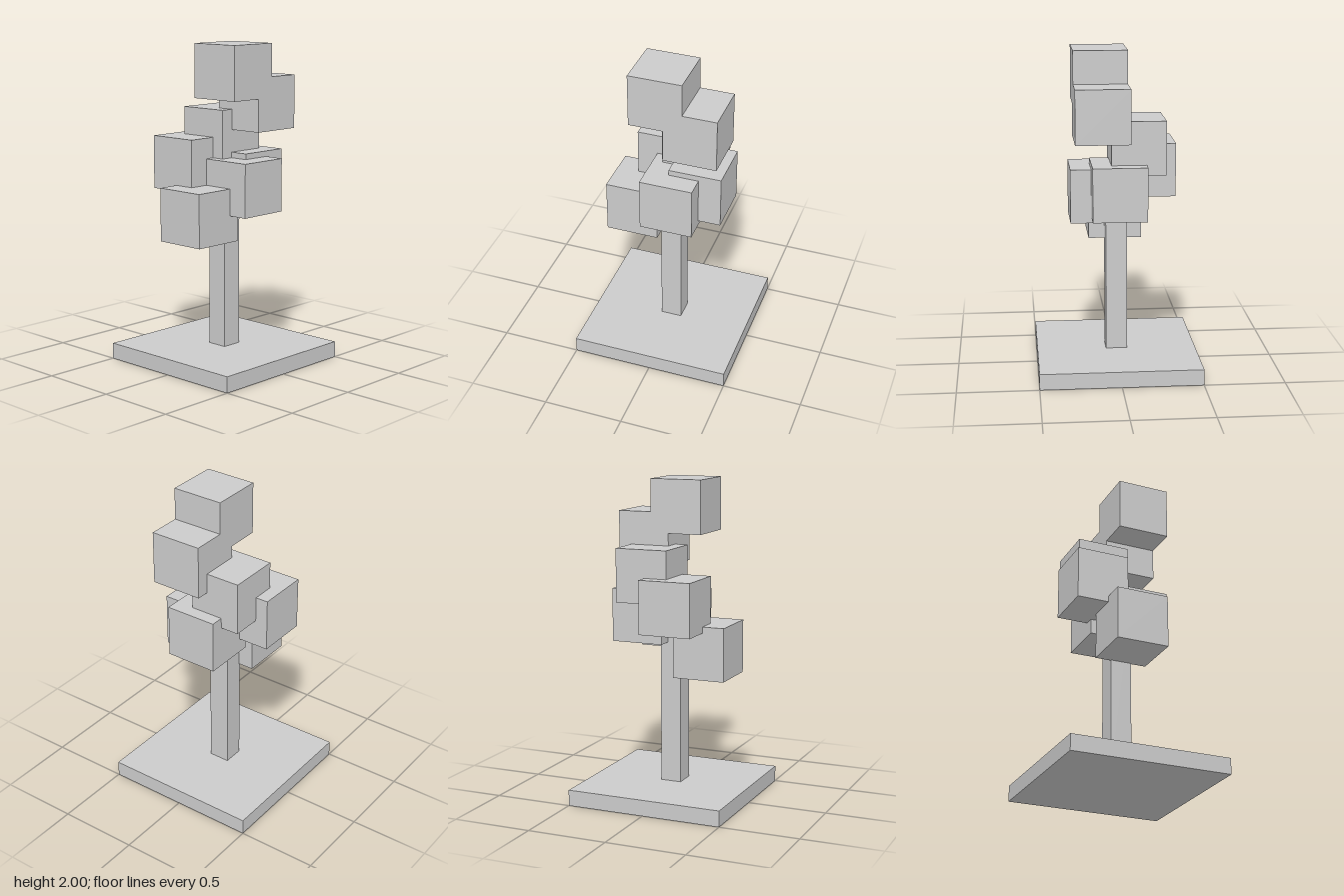
import * as THREE from 'three';

const material = new THREE.MeshStandardMaterial({ color: 0xcccccc, flatShading: true });

function block(name, size, center) {
  const mesh = new THREE.Mesh(new THREE.BoxGeometry(...size), material);
  mesh.name = name;
  mesh.position.set(...center);
  return mesh;
}

export function createModel() {
  const model = new THREE.Group();
  model.name = 'blockTree';

  // Square ground slab and the trunk rising into the crown
  model.add(block('base', [1, 0.1, 1], [0, 0.05, 0]));
  model.add(block('trunk', [0.133, 1.1, 0.133], [0, 0.65, 0]));

  // Crown of equal, overlapping cubes, from the top down
  const crown = new THREE.Group();
  crown.name = 'crown';
  const s = 0.332;
  const centers = [
    [-0.029, 1.834, 0.102],
    [0.184, 1.631, 0.102],
    [0.102, 1.425, -0.119],
    [-0.086, 1.252, -0.2],
    [0.184, 1.159, -0.001],
    [0.042, 1.124, 0.126],
    [-0.224, 0.959, 0],
  ];
  centers.forEach((c, i) => crown.add(block(`leafCube${i + 1}`, [s, s, s], c)));
  model.add(crown);

  return model;
}
